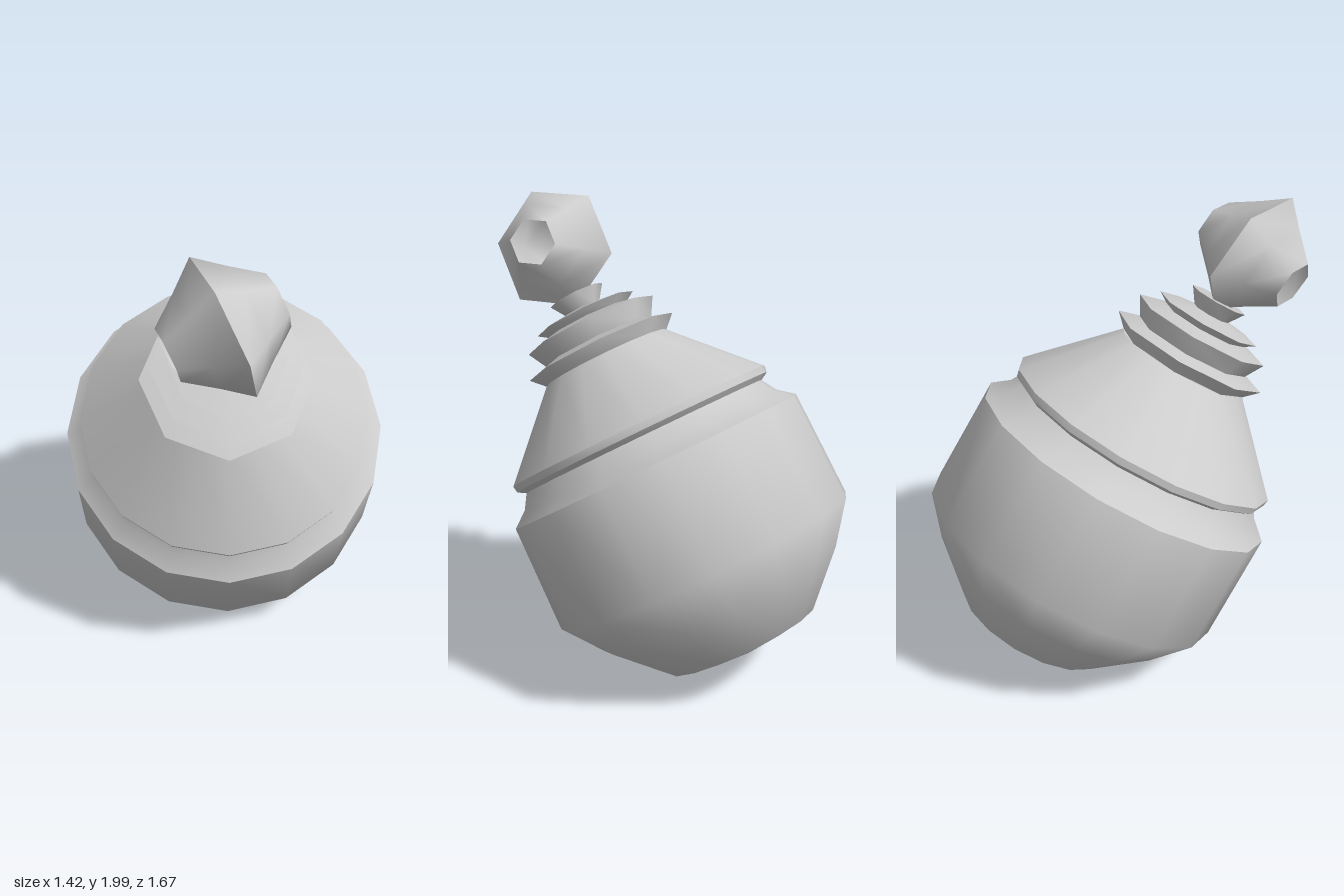
import * as THREE from 'three';
import { toCreasedNormals } from 'three/addons/utils/BufferGeometryUtils.js';

const grey = new THREE.MeshStandardMaterial({ color: 0xcccccc, side: THREE.DoubleSide });
grey.name = 'grey';

// Turned part from [radius, height] pairs, with sharp rims and smooth sides
function turned(name, profile, sides, crease) {
  const points = profile.map(([r, h]) => new THREE.Vector2(r, h));
  const geometry = toCreasedNormals(new THREE.LatheGeometry(points, sides), crease);
  const mesh = new THREE.Mesh(geometry, grey);
  mesh.name = name;
  return mesh;
}

export function createModel() {
  const model = new THREE.Group();
  model.name = 'leaningFlask';

  // Leaning frame: y along the flask axis, z straight down the slope
  const flask = new THREE.Group();
  flask.name = 'flask';
  const axis = new THREE.Vector3(-0.165, 0.834, 0.527).normalize();
  const slope = axis.clone().multiplyScalar(axis.y).sub(new THREE.Vector3(0, 1, 0)).normalize();
  const side = new THREE.Vector3().crossVectors(axis, slope);
  flask.quaternion.setFromRotationMatrix(new THREE.Matrix4().makeBasis(side, axis, slope));
  flask.position.set(-0.045, 0.915, 0);
  model.add(flask);

  // Round bowl with a bevelled rim and a groove
  flask.add(turned('bowl', [
    [0, -0.93], [0.35, -0.86], [0.56, -0.65], [0.69, -0.48],
    [0.68, 0], [0.61, 0.055], [0.57, 0.12],
  ], 16, 0.8));

  // Conical shoulder with an overhanging lip
  flask.add(turned('shoulder', [
    [0.57, 0.12], [0.605, 0.14], [0.61, 0.17], [0.29, 0.5], [0, 0.51],
  ], 16, 0.6));

  // Neck of flared rings, each narrower than the one below
  const rings = [[0.345, 0.555], [0.3, 0.66], [0.23, 0.715], [0.125, 0.805]];
  const neck = [[0.29, 0.5]];
  rings.forEach(([r, h], i) => {
    neck.push([r, h]);
    if (i < rings.length - 1) neck.push([rings[i + 1][0] - 0.045, h + 0.025]);
  });
  neck.push([0, 0.8]);
  flask.add(turned('neckRings', neck, 8, 0.9));

  // Hollow six-sided knob, open at both ends, lying across the neck
  const knob = turned('knob', [
    [0.105, -0.22], [0.19, -0.105], [0.275, 0], [0.19, 0.105], [0.105, 0.22],
  ], 6, 1.1);
  knob.position.set(-0.24, 1.77, 0.555);
  knob.rotation.z = -Math.PI / 2 + 0.33;
  model.add(knob);

  return model;
}
